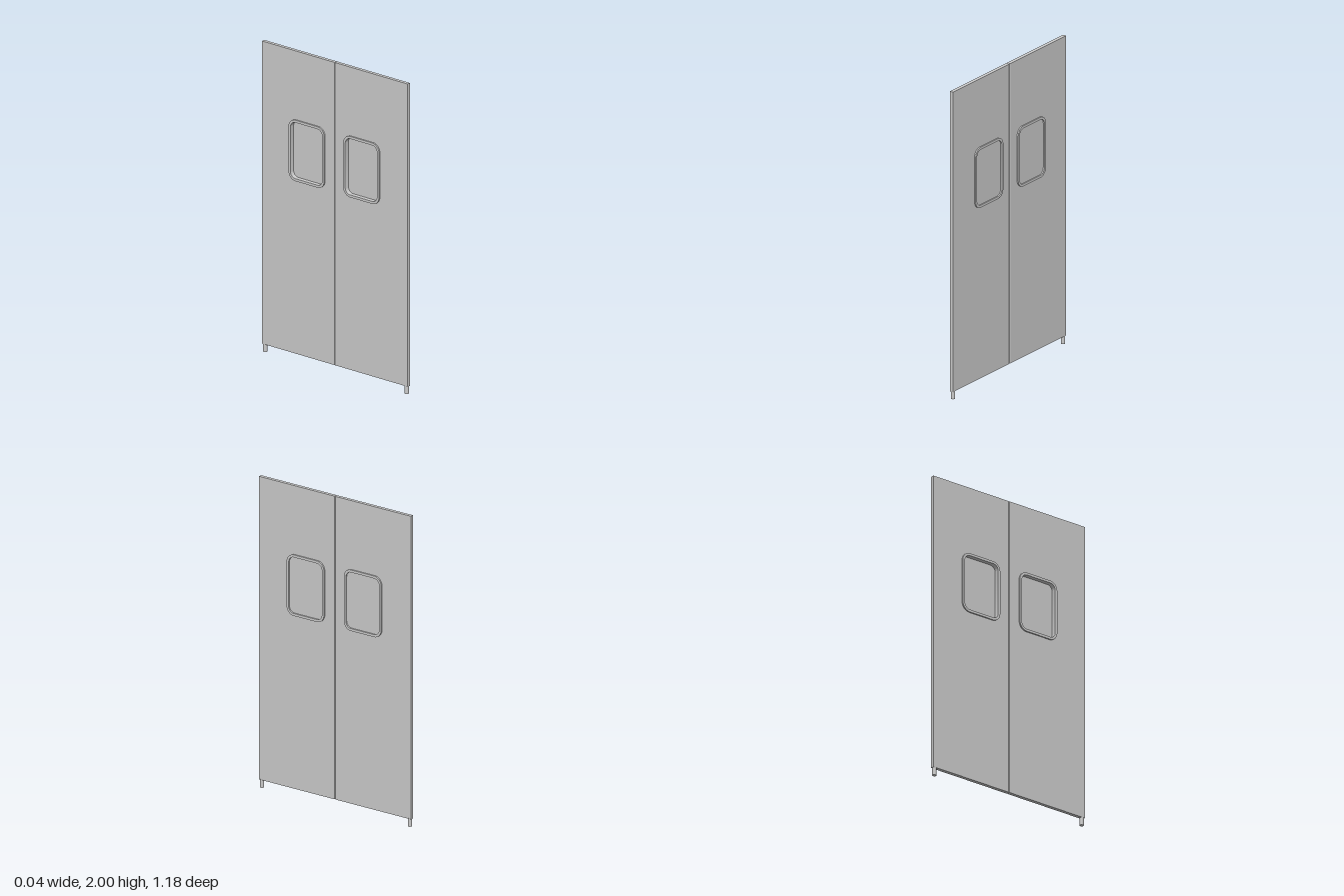
import * as THREE from 'three';
import { toCreasedNormals } from 'three/addons/utils/BufferGeometryUtils.js';

const grey = new THREE.MeshStandardMaterial({ color: 0xcccccc });
const HALF = 0.012;               // half the panel thickness
const BOTTOM = 0.05, TOP = 2, WIDTH = 0.59, NOSE = 0.007;
const WINDOW = { z: 0.222, y: 1.361, w: 0.29, h: 0.393, r: 0.055, rim: 0.016 };

// Rounded rectangle around (cx, cy), traced on a Shape or Path
function roundedRect(path, cx, cy, w, h, r) {
  const x = w / 2 - r, y = h / 2 - r;
  path.moveTo(cx + x + r, cy - y);
  path.absarc(cx + x, cy + y, r, 0, Math.PI / 2);
  path.absarc(cx - x, cy + y, r, Math.PI / 2, Math.PI);
  path.absarc(cx - x, cy - y, r, Math.PI, Math.PI * 1.5);
  path.absarc(cx + x, cy - y, r, Math.PI * 1.5, Math.PI * 2);
  path.closePath();
  return path;
}

// Window outline shrunk by an inset
function windowOutline(path, cz, inset) {
  const { y, w, h, r } = WINDOW;
  return roundedRect(path, cz, y, w - 2 * inset, h - 2 * inset, r - inset);
}

// Extrudes a (z, y) outline across the door, from x0 to x1
function slab(shape, x0, x1) {
  const geo = new THREE.ExtrudeGeometry(shape, { depth: x1 - x0, bevelEnabled: false, curveSegments: 10 });
  geo.translate(0, 0, -x1).rotateY(-Math.PI / 2);
  return toCreasedNormals(geo, 0.6);
}

function add(group, name, geometry) {
  const mesh = new THREE.Mesh(geometry, grey);
  mesh.name = name;
  group.add(mesh);
  return mesh;
}

function createDoor(side) {
  const door = new THREE.Group();
  const cz = side * WINDOW.z;

  // Panel with the window opening
  const panel = new THREE.Shape();
  panel.moveTo(side * NOSE, BOTTOM);
  panel.lineTo(side * WIDTH, BOTTOM);
  panel.lineTo(side * WIDTH, TOP);
  panel.lineTo(side * NOSE, TOP);
  panel.closePath();
  panel.holes.push(windowOutline(new THREE.Path(), cz, WINDOW.rim / 2));
  add(door, 'panel', slab(panel, -HALF, HALF));

  // Rounded edge where the two doors meet
  const nose = new THREE.Shape();
  const c = HALF - NOSE;
  nose.moveTo(HALF, -side * NOSE);
  nose.quadraticCurveTo(HALF, -side * 0.001, c, -side * 0.001);
  nose.lineTo(-c, -side * 0.001);
  nose.quadraticCurveTo(-HALF, -side * 0.001, -HALF, -side * NOSE);
  nose.closePath();
  const noseGeo = new THREE.ExtrudeGeometry(nose, { depth: TOP - BOTTOM, bevelEnabled: false, curveSegments: 6 });
  noseGeo.rotateX(-Math.PI / 2).translate(0, BOTTOM, 0);
  add(door, 'meetingEdge', toCreasedNormals(noseGeo, 0.6));

  // Window frame standing proud on both faces
  const frame = windowOutline(new THREE.Shape(), cz, 0);
  frame.holes.push(windowOutline(new THREE.Path(), cz, WINDOW.rim));
  add(door, 'windowFrame', slab(frame, -0.021, 0.021));

  // Pane set towards the +x face
  const pane = windowOutline(new THREE.Shape(), cz, WINDOW.rim - 0.002);
  add(door, 'windowPane', slab(pane, 0.008, 0.012));

  // Pivot pin under the outer corner
  const pin = add(door, 'pivotPin', new THREE.CylinderGeometry(0.013, 0.013, BOTTOM + 0.004, 20));
  pin.position.set(0, (BOTTOM + 0.004) / 2, side * 0.574);
  return door;
}

export function createModel() {
  const model = new THREE.Group();
  model.name = 'swingDoors';
  for (const side of [1, -1]) {
    const door = createDoor(side);
    door.name = side > 0 ? 'frontDoor' : 'backDoor';
    model.add(door);
  }
  return model;
}
